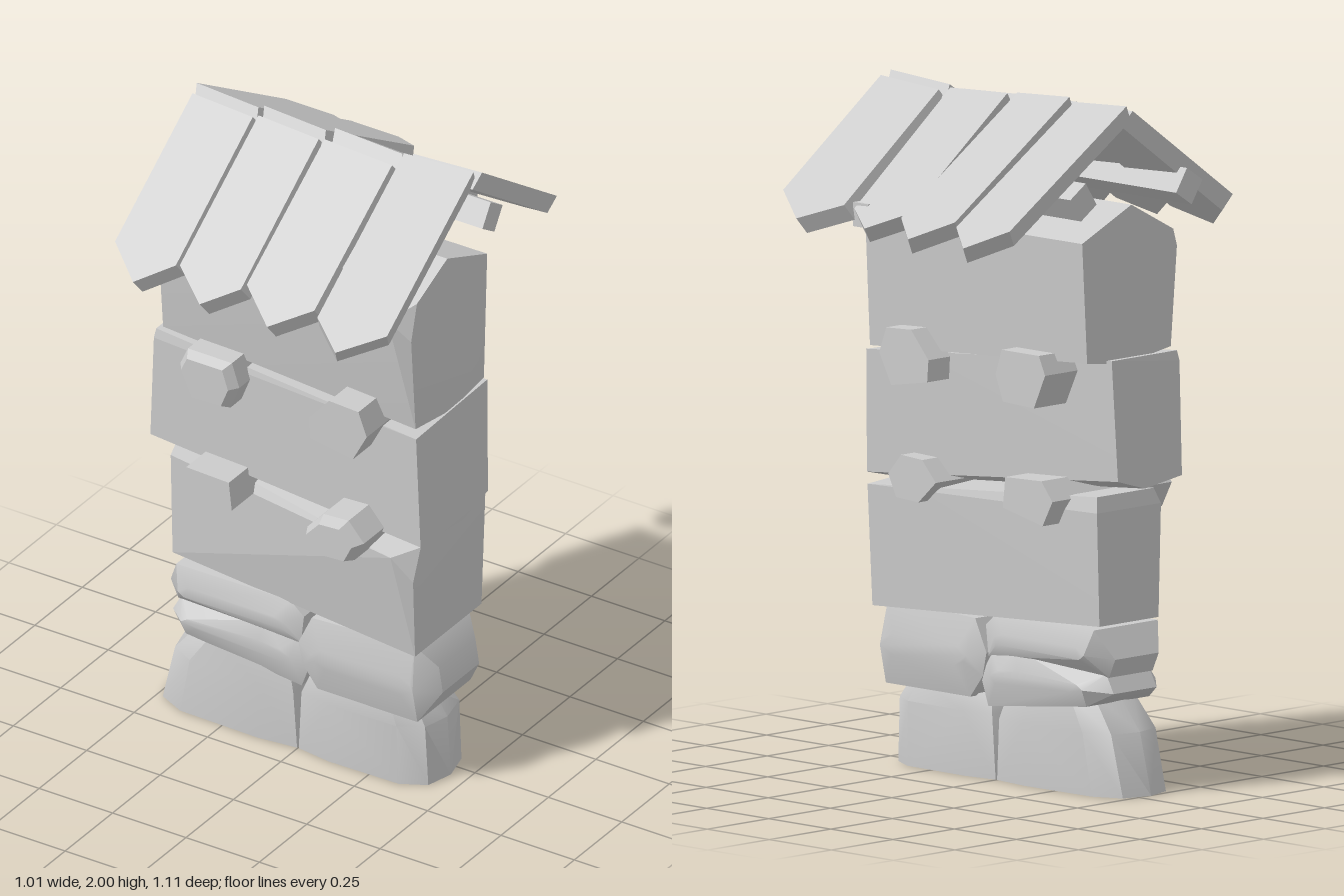
import * as THREE from 'three';
import { ConvexGeometry } from 'three/addons/geometries/ConvexGeometry.js';
import { toCreasedNormals } from 'three/addons/utils/BufferGeometryUtils.js';

const V = (x, y, z) => new THREE.Vector3(x, y, z);
const centre = (outline) => [0, 1].map((i) => outline.reduce((s, p) => s + p[i], 0) / outline.length);

export function createModel() {
  const model = new THREE.Group();
  const grey = new THREE.MeshStandardMaterial({ color: 0xcccccc });
  grey.name = 'pale grey';

  // Chunky convex solid around a few corner points
  const solid = (name, points, crease = 0.1) => {
    const mesh = new THREE.Mesh(toCreasedNormals(new ConvexGeometry(points), crease), grey);
    mesh.name = name;
    model.add(mesh);
  };

  // Wall block between a left-hand and a right-hand cross-section of [z, y, x]
  const block = (name, a, b) => solid(name, [...a, ...b].map(([z, y, x]) => V(x, y, z)));

  // Foundation stones: rows of [y, inner x, outer x, front z, back z], rounded at the outer end
  const footing = (name, rows) => {
    const points = [];
    for (const [y, inner, outer, f, k, yOuter = y] of rows) {
      const w = outer - inner;
      points.push(V(inner, y, f - 0.015), V(inner, y, k + 0.015), V(inner - Math.sign(w) * 0.025, y, 0.04));
      for (const [t, inset] of [[0.25, 0], [0.78, 0.005], [0.95, 0.045]]) {
        const h = y + (yOuter - y) * t;
        points.push(V(inner + w * t, h, f - inset), V(inner + w * t, h, k + inset));
      }
      points.push(V(outer, yOuter, 0.045));
    }
    solid(name, points, 0.5);
  };
  footing('rightFootingStone', [
    [0, -0.003, -0.505, 0.175, -0.09],
    [0.18, -0.016, -0.46, 0.175, -0.095],
    [0.25, -0.035, -0.37, 0.165, -0.08, 0.285],
  ]);
  footing('leftFootingStone', [
    [0, 0.003, 0.447, 0.175, -0.09],
    [0.19, 0.012, 0.435, 0.175, -0.095],
    [0.24, 0.03, 0.39, 0.165, -0.08, 0.26],
  ]);

  // Course stones: front outline of [x, y], bulging faces, narrowing at the outer end
  const stone = (name, outline, zBack, zFront, tipX) => {
    const [cx, cy] = centre(outline);
    const mid = (zBack + zFront) / 2, half = (zFront - zBack) / 2;
    const points = [];
    for (const [x, y] of outline) {
      const d = Math.abs(x - tipX) < 0.03 ? 0.58 : 0.85;
      for (const s of [1, -1]) {
        points.push(V(x, y, mid + s * half * d), V(cx + (x - cx) * 0.75, cy + (y - cy) * 0.25, mid + s * half));
      }
    }
    solid(name, points, 0.55);
  };
  stone('leftCourseStone', [[0.015, 0.37], [0.06, 0.465], [0.41, 0.485], [0.465, 0.41], [0.478, 0.33],
    [0.42, 0.235], [0.08, 0.235], [0.03, 0.3]], -0.125, 0.205, 0.475);
  stone('upperCourseStone', [[-0.455, 0.4], [-0.41, 0.485], [-0.02, 0.49], [0.025, 0.45], [0.015, 0.36],
    [-0.1, 0.375], [-0.43, 0.345]], -0.115, 0.19, -0.45);
  stone('lowerCourseStone', [[-0.45, 0.3], [-0.42, 0.355], [-0.1, 0.395], [0, 0.37], [0.045, 0.3],
    [0.015, 0.215], [-0.38, 0.26]], -0.115, 0.185, -0.44);

  // Three stacked wall blocks
  block('lowerWallBlock',
    [[0.14, 0.5, -0.44], [0.15, 0.83, -0.44], [0.13, 0.875, -0.43], [-0.1, 0.875, -0.43],
      [-0.11, 0.83, -0.44], [-0.1, 0.5, -0.44]],
    [[0.2, 0.465, 0.425], [0.245, 0.8, 0.37], [0.215, 0.72, 0.428], [0.17, 0.815, 0.425], [0.02, 0.835, 0.425],
      [-0.17, 0.82, 0.425], [-0.15, 0.465, 0.425]]);
  block('middleWallBlock',
    [[0.195, 1.27, -0.46], [0.2, 1.24, -0.465], [0.195, 0.91, -0.48], [0.04, 0.89, -0.485],
      [-0.06, 0.92, -0.475], [-0.07, 1.27, -0.46]],
    [[0.21, 1.2, 0.435], [-0.165, 1.21, 0.435], [-0.15, 0.85, 0.447], [-0.02, 0.82, 0.447], [0.205, 0.84, 0.447]]);
  block('upperWallBlock',
    [[0.19, 1.28, -0.44], [0.215, 1.57, -0.44], [0.2, 1.62, -0.44], [0.03, 1.71, -0.44],
      [-0.17, 1.62, -0.44], [-0.15, 1.27, -0.44], [0, 1.25, -0.44]],
    [[0.205, 1.23, 0.43], [0.225, 1.53, 0.428], [0.26, 1.6, 0.37], [0.19, 1.64, 0.425], [0.03, 1.71, 0.425],
      [-0.18, 1.62, 0.425], [-0.155, 1.22, 0.43], [0.02, 1.2, 0.43]]);

  // Pegs running through the joints: outline, back end, front end, chamfer of the front end
  const peg = (name, outline, zBack, zFront, chamfer) => {
    const [cx, cy] = centre(outline);
    const k = chamfer ? 0.8 : 1;
    solid(name, outline.flatMap(([x, y]) => [
      V(x, y, zBack), V(x, y, zFront - chamfer), V(cx + (x - cx) * k, cy + (y - cy) * k, zFront)]));
  };
  peg('upperRightPeg', [[-0.335, 1.23], [-0.31, 1.285], [-0.16, 1.285], [-0.135, 1.21], [-0.165, 1.135],
    [-0.29, 1.13]], -0.215, 0.29, 0.03);
  peg('upperLeftPeg', [[0.13, 1.22], [0.2, 1.3], [0.3, 1.295], [0.328, 1.22], [0.28, 1.13], [0.135, 1.155]],
    -0.22, 0.305, 0);
  peg('lowerRightPeg', [[-0.335, 0.86], [-0.29, 0.915], [-0.145, 0.91], [-0.135, 0.82], [-0.295, 0.785]],
    -0.185, 0.3, 0);
  peg('lowerLeftPeg', [[0.13, 0.86], [0.185, 0.92], [0.27, 0.925], [0.322, 0.865], [0.29, 0.8], [0.2, 0.795]],
    -0.19, 0.35, 0.04);

  // Roof framing: two tilted purlins and a cross beam
  for (const [z, y, side] of [[0.245, 1.74, 1], [-0.185, 1.745, -1]]) {
    const purlin = new THREE.Mesh(new THREE.BoxGeometry(0.9, 0.08, 0.075), grey);
    purlin.position.set(-0.01, y, z);
    purlin.rotation.x = side * 0.58;
    purlin.name = side > 0 ? 'frontPurlin' : 'backPurlin';
    model.add(purlin);
  }
  const beam = new THREE.Mesh(new THREE.BoxGeometry(0.06, 0.07, 0.79), grey);
  beam.position.set(0.21, 1.655, -0.02);
  beam.name = 'crossBeam';
  model.add(beam);

  // Pointed roof boards: ridge edge, eave edge and tip; each rolls sideways a little
  const board = (name, [r0, r1, rz, ry], [e0, e1, ez], [tx, tz, ty], roll) => {
    const slope = (ty - ry) / (tz - rz);
    const down = V(0, 1, -slope).normalize().multiplyScalar(-0.055);
    down.x = roll * 0.2;
    const top = [[r0, rz], [r1, rz], [e0, ez], [e1, ez], [tx, tz]]
      .map(([x, z]) => V(x, ry + (z - rz) * slope - roll * (x - tx), z));
    solid(name, [...top, ...top.map((p) => p.clone().add(down))]);
  };
  const boards = [
    [[-0.44, -0.235, 0.035, 1.975], [-0.442, -0.235, 0.44], [-0.332, 0.516, 1.63], 0.06],
    [[-0.215, -0.01, 0.035, 1.975], [-0.218, -0.01, 0.445], [-0.105, 0.516, 1.63], 0.06],
    [[0.01, 0.24, 0.035, 1.97], [0.005, 0.235, 0.437], [0.125, 0.516, 1.63], 0.05],
    [[0.248, 0.485, -0.015, 1.99], [0.268, 0.505, 0.472], [0.38, 0.551, 1.645], -0.06],
    [[-0.445, -0.235, 0.005, 1.993], [-0.455, -0.24, -0.48], [-0.342, -0.555, 1.642], 0.06],
    [[-0.215, -0.005, 0.005, 1.993], [-0.235, -0.018, -0.48], [-0.12, -0.555, 1.642], 0.06],
    [[0.01, 0.24, -0.02, 1.98], [0.005, 0.225, -0.425], [0.125, -0.485, 1.635], 0.05],
    [[0.262, 0.495, -0.045, 1.975], [0.245, 0.49, -0.447], [0.365, -0.52, 1.64], -0.06],
  ];
  boards.forEach((b, i) => board((i < 4 ? 'frontRoofBoard' : 'backRoofBoard') + (i % 4 + 1), ...b));

  return model;
}
